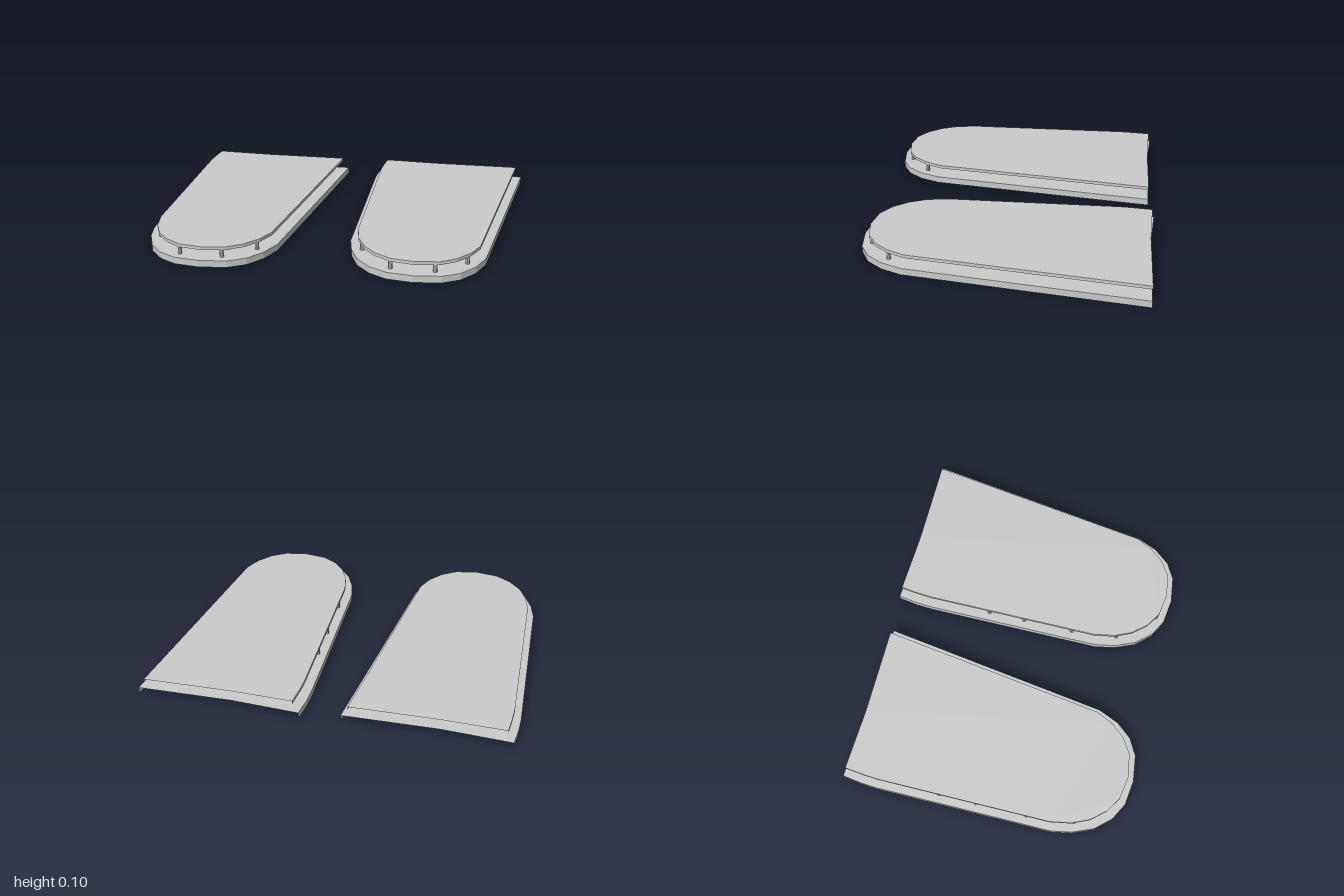
import * as THREE from 'three';

const mat = new THREE.MeshStandardMaterial({ color: 0xcccccc, flatShading: true, side: THREE.DoubleSide });

// Outlines as [x, z], from the slanted side's back corner round the front to the straight side's back corner
const lowerRim = [
  [-0.097, -0.75], [-0.278, 0.508], [-0.326, 0.62], [-0.396, 0.705], [-0.487, 0.755], [-0.63, 0.773],
  [-0.765, 0.755], [-0.856, 0.705], [-0.932, 0.62], [-0.979, 0.508], [-1, 0.398],
  [-1, -0.585], [-0.995, -0.666], [-0.979, -0.777],
];
const upperRim = [
  [-0.134, -0.75], [-0.31, 0.495], [-0.353, 0.588], [-0.417, 0.665], [-0.5, 0.718], [-0.626, 0.738],
  [-0.75, 0.718], [-0.834, 0.665], [-0.9, 0.588], [-0.942, 0.495], [-0.963, 0.38],
  [-0.963, -0.585], [-0.957, -0.666], [-0.945, -0.765],
];
// Where the back edge begins to sweep out to the straight side's corner
const backBend = [-0.61, -0.75];

// Support positions as [x, z]
const posts = [
  [-0.37, 0.586], [-0.525, 0.708], [-0.75, 0.704], [-0.922, 0.505],
  [-0.95, 0.25], [-0.95, -0.033], [-0.95, -0.24],
];

const LOWER_TOP = 0.037, UPPER_BOTTOM = 0.08, UPPER_TOP = 0.098;

function mesh(name, geometry) {
  const m = new THREE.Mesh(geometry, mat);
  m.name = name;
  return m;
}

// A thin sheet with a skirt hanging from its rim, open below and at the back
function tray(name, rim, bottom, top) {
  const g = new THREE.Group();
  g.name = name;

  const shape = new THREE.Shape([...rim, backBend].map(([x, z]) => new THREE.Vector2(x, -z)));
  const sheet = new THREE.ShapeGeometry(shape);
  sheet.rotateX(-Math.PI / 2).translate(0, top, 0);
  g.add(mesh(name + 'Sheet', sheet));

  const pos = [], index = [];
  rim.forEach(([x, z], i) => {
    pos.push(x, bottom, z, x, top, z);
    if (i < rim.length - 1) {
      const a = 2 * i;
      index.push(a, a + 1, a + 2, a + 1, a + 3, a + 2);
    }
  });
  const skirt = new THREE.BufferGeometry();
  skirt.setAttribute('position', new THREE.Float32BufferAttribute(pos, 3));
  skirt.setIndex(index);
  skirt.computeVertexNormals();
  g.add(mesh(name + 'Skirt', skirt));
  return g;
}

function panel(name, offset) {
  const g = new THREE.Group();
  g.name = name;
  g.add(tray('lowerPlate', lowerRim, 0, LOWER_TOP));
  g.add(tray('upperPlate', upperRim, UPPER_BOTTOM, UPPER_TOP));

  // Short round supports between the plates
  const height = UPPER_TOP - LOWER_TOP;
  const postGeometry = new THREE.CylinderGeometry(0.011, 0.011, height, 8, 1, true);
  for (const [x, z] of posts) {
    const p = mesh('supportPost', postGeometry);
    p.position.set(x, LOWER_TOP + height / 2, z);
    g.add(p);
  }
  g.position.x = offset;
  return g;
}

export function createModel() {
  const model = new THREE.Group();
  model.name = 'twinPanels';
  model.add(panel('rightPanel', 0), panel('leftPanel', 1.097));
  return model;
}
